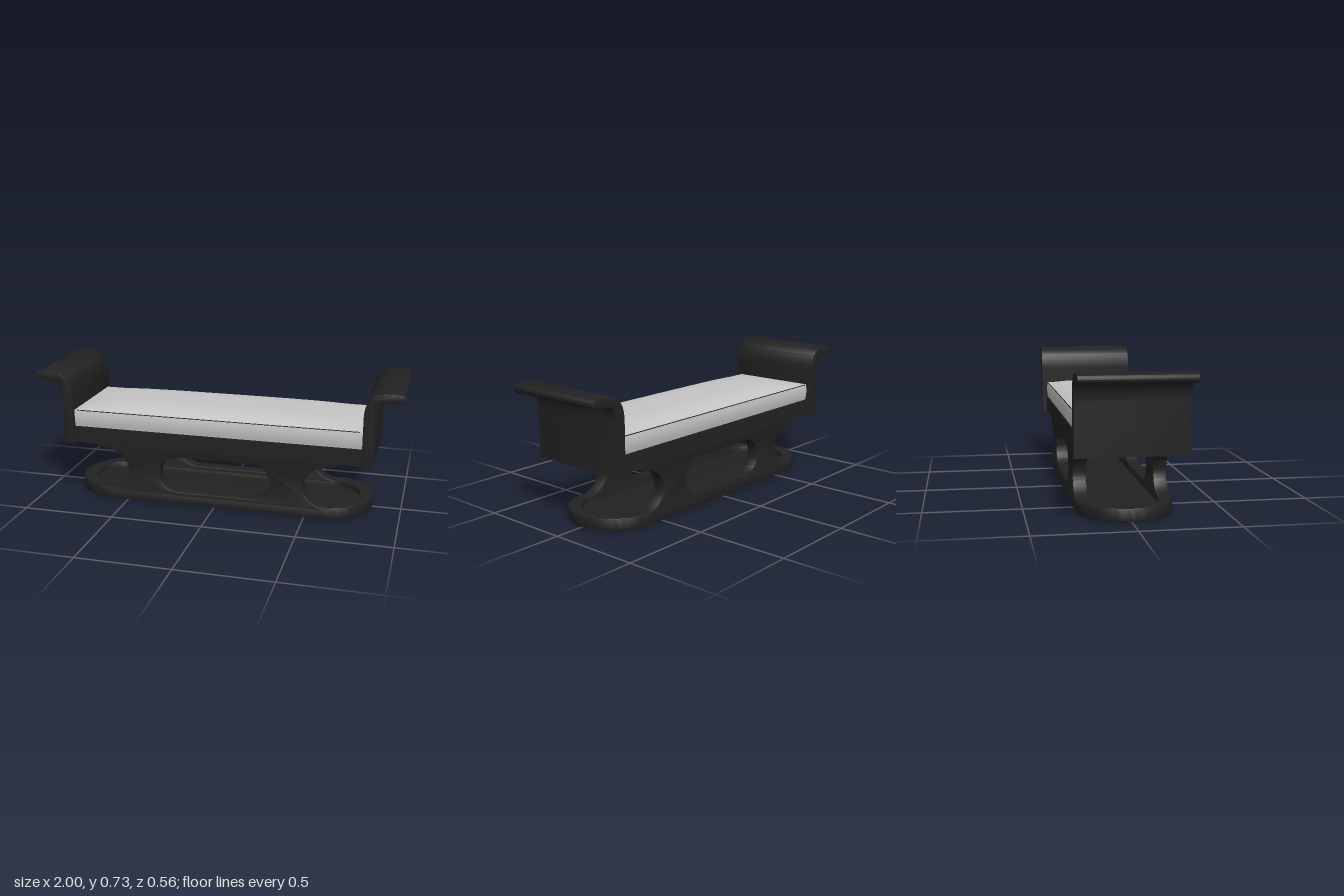
import * as THREE from 'three';
import { toCreasedNormals, mergeVertices } from 'three/addons/utils/BufferGeometryUtils.js';

const black = new THREE.MeshStandardMaterial({ color: 0x222222 });
black.name = 'black frame';
const fabric = new THREE.MeshStandardMaterial({ color: 0xc4c4c4 });
fabric.name = 'light grey fabric';

function add(group, name, geometry, material) {
  const mesh = new THREE.Mesh(geometry, material);
  mesh.name = name;
  group.add(mesh);
  return mesh;
}

// Extrusion with a small softened edge that stays inside the outline
function slab(shape, depth, bevel = 0.006) {
  const g = new THREE.ExtrudeGeometry(shape, {
    depth: depth - 2 * bevel, curveSegments: 20, bevelEnabled: true,
    bevelSize: bevel, bevelThickness: bevel, bevelOffset: -bevel, bevelSegments: 2,
  });
  g.translate(0, 0, bevel);
  return g;
}

// Long outline with half-round ends
function stadium(path, cx, r) {
  path.moveTo(-cx, -r);
  path.lineTo(cx, -r);
  path.absarc(cx, 0, r, -Math.PI / 2, Math.PI / 2, false);
  path.lineTo(-cx, r);
  path.absarc(-cx, 0, r, Math.PI / 2, Math.PI * 1.5, false);
  return path;
}

// Side panel: waisted at both ends, with a rounded slot in the middle
function panelShape() {
  const s = new THREE.Shape();
  s.moveTo(-0.62, 0.045);
  s.lineTo(0.62, 0.045);
  s.lineTo(0.62, 0.06);
  s.bezierCurveTo(0.55, 0.062, 0.49, 0.115, 0.49, 0.175);
  s.bezierCurveTo(0.49, 0.235, 0.54, 0.285, 0.62, 0.293);
  s.quadraticCurveTo(0.66, 0.297, 0.70, 0.325);
  s.lineTo(-0.70, 0.325);
  s.quadraticCurveTo(-0.66, 0.297, -0.62, 0.293);
  s.bezierCurveTo(-0.54, 0.285, -0.49, 0.235, -0.49, 0.175);
  s.bezierCurveTo(-0.49, 0.115, -0.55, 0.062, -0.62, 0.06);
  s.closePath();
  const h = new THREE.Path();
  h.absarc(0.21, 0.175, 0.1, -Math.PI / 2, Math.PI / 2, false);
  h.absarc(-0.21, 0.175, 0.1, Math.PI / 2, Math.PI * 1.5, false);
  h.closePath();
  s.holes.push(h);
  return s;
}

// Upright arm that sweeps outward into a rolled lip
function armShape() {
  const s = new THREE.Shape();
  s.moveTo(0.797, 0.318);
  s.lineTo(0.853, 0.318);
  s.lineTo(0.853, 0.58);
  s.bezierCurveTo(0.853, 0.645, 0.875, 0.676, 0.925, 0.676);
  s.lineTo(0.977, 0.677);
  s.absarc(0.977, 0.7, 0.023, -Math.PI / 2, Math.PI / 3, false);
  s.quadraticCurveTo(0.975, 0.725, 0.95, 0.725);
  s.lineTo(0.91, 0.725);
  s.bezierCurveTo(0.835, 0.725, 0.797, 0.675, 0.797, 0.59);
  s.closePath();
  return s;
}

// Padded cushion: bulging sides and a softly domed top
function cushionGeometry() {
  const g = new THREE.BoxGeometry(1.59, 1, 0.5, 48, 8, 24);
  const p = g.attributes.position;
  for (let i = 0; i < p.count; i++) {
    const x = p.getX(i), z = p.getZ(i), t = p.getY(i) + 0.5;
    const dome = (1 - Math.abs(x / 0.795) ** 5) * (1 - Math.abs(z / 0.25) ** 4);
    const bulge = 0.975 + 0.03 * Math.sin(Math.PI * Math.min(1, t * 0.9));
    p.setXYZ(i, x, 0.41 + t * (0.097 + 0.038 * dome), z * bulge);
  }
  g.deleteAttribute('uv');
  g.deleteAttribute('normal');
  return toCreasedNormals(mergeVertices(g), 0.7);
}

export function createModel() {
  const model = new THREE.Group();
  model.name = 'bench';

  // Base: thin floor and a raised rim that lifts slightly at the ends
  const base = new THREE.Group();
  base.name = 'base';
  model.add(base);
  const floor = slab(stadium(new THREE.Shape(), 0.597, 0.243), 0.035);
  floor.rotateX(-Math.PI / 2);
  add(base, 'baseFloor', toCreasedNormals(floor, 0.6), black);
  const rimShape = stadium(new THREE.Shape(), 0.597, 0.245);
  rimShape.holes.push(stadium(new THREE.Path(), 0.597, 0.173));
  const rim = slab(rimShape, 0.068);
  rim.rotateX(-Math.PI / 2);
  const p = rim.attributes.position;
  for (let i = 0; i < p.count; i++) {
    const lift = THREE.MathUtils.smoothstep(Math.abs(p.getX(i)), 0.61, 0.69);
    if (p.getY(i) > 0.03) p.setY(i, p.getY(i) - 0.009 * (1 - lift));
  }
  add(base, 'baseRim', toCreasedNormals(rim, 0.6), black);

  // Front and back side panels
  const panel = toCreasedNormals(slab(panelShape(), 0.072, 0.008), 0.5);
  add(model, 'frontPanel', panel, black).position.z = 0.173;
  add(model, 'backPanel', panel, black).position.z = -0.245;

  // Seat frame and cushion
  const frame = new THREE.BoxGeometry(1.6, 0.092, 0.505);
  add(model, 'seatFrame', frame, black).position.y = 0.366;
  add(model, 'seatCushion', cushionGeometry(), fabric);

  // Thin seams along the long edges of the cushion
  for (const side of [1, -1]) {
    const seam = new THREE.CylinderGeometry(0.0025, 0.0025, 1.56, 8);
    seam.rotateZ(Math.PI / 2);
    add(model, side > 0 ? 'frontSeam' : 'backSeam', seam, black).position.set(0, 0.505, side * 0.2465);
  }

  // Arms at both ends
  const arm = toCreasedNormals(slab(armShape(), 0.564, 0.004), 0.5);
  arm.translate(0, 0, -0.282);
  add(model, 'leftArm', arm, black);
  add(model, 'rightArm', arm, black).rotation.y = Math.PI;

  return model;
}
